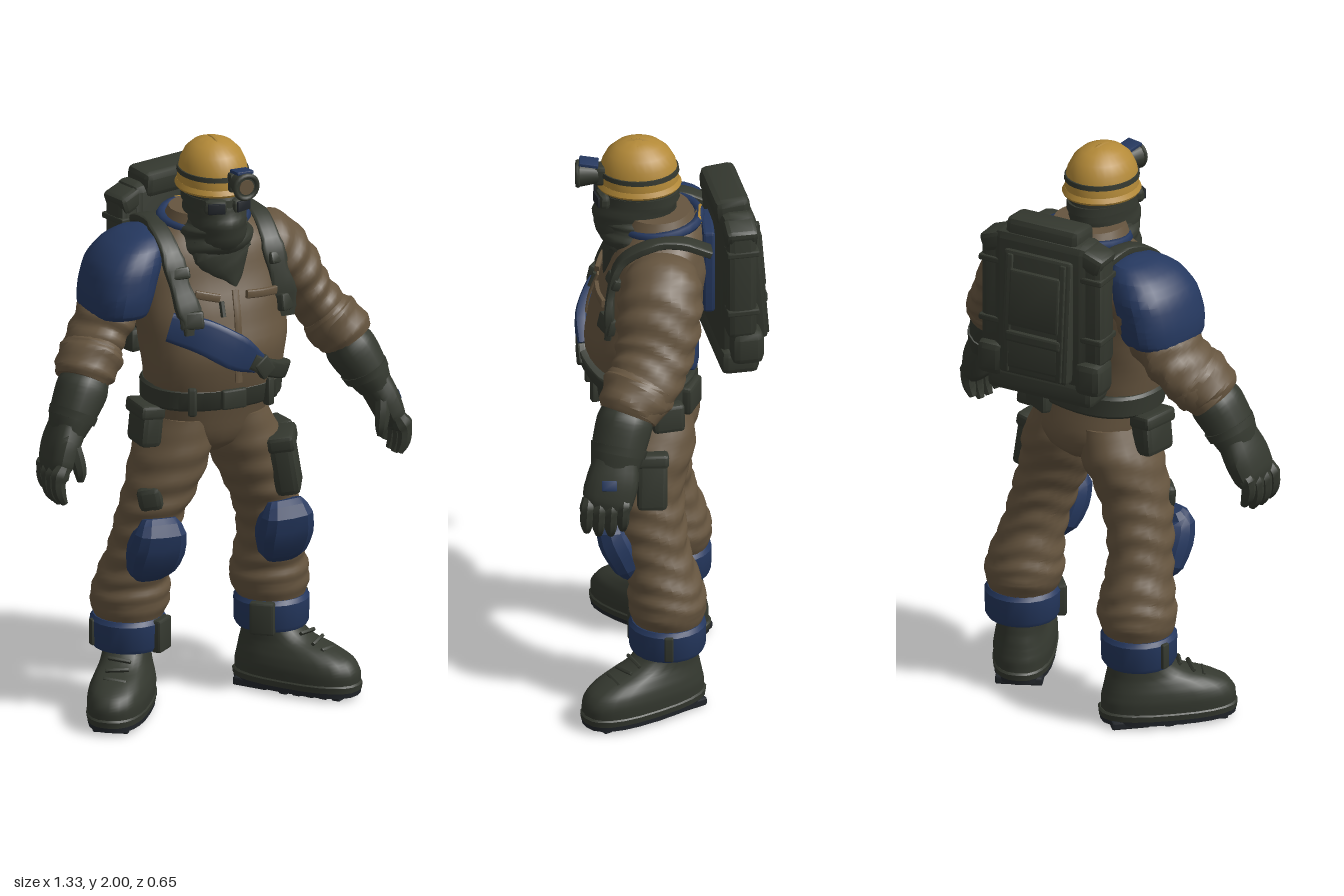
import * as THREE from 'three';
import { toCreasedNormals } from 'three/addons/utils/BufferGeometryUtils.js';
import { RoundedBoxGeometry } from 'three/addons/geometries/RoundedBoxGeometry.js';

const V = (x, y, z) => new THREE.Vector3(x, y, z);
const X = V(1, 0, 0), Y = V(0, 1, 0), Z = V(0, 0, 1);

// Skin through rings [x, y, z, a, b]; level keeps every ring horizontal
function loft(rings, { seg = 20, sub = 4, pow = 2, level = false, ref = Z, wrinkle = 0, waves = 8, crease = 0.6 } = {}) {
  const path = new THREE.CatmullRomCurve3(rings.map(r => V(r[0], r[1], r[2])));
  const radii = new THREE.CatmullRomCurve3(rings.map(r => V(r[3], r[4], 0)));
  const n = (rings.length - 1) * sub, pos = [], idx = [];
  const upright = Y.clone().multiplyScalar(Math.sign(rings[rings.length - 1][1] - rings[0][1]));
  for (let i = 0; i <= n; i++) {
    const t = i / n, c = path.getPoint(t), r = radii.getPoint(t);
    const T = level ? upright : path.getTangent(t);
    const side = V(0, 0, 0).crossVectors(ref, T).normalize();
    const front = V(0, 0, 0).crossVectors(T, side);
    for (let j = 0; j < seg; j++) {
      const a = j / seg * Math.PI * 2, co = Math.cos(a), si = Math.sin(a);
      const k = 1 + wrinkle * Math.sin(t * waves * 6.28 + 1.6 * Math.sin(a * 2) + Math.cos(a * 3)) * Math.sin(Math.PI * t);
      const u = Math.sign(co) * Math.abs(co) ** (2 / pow) * r.x * k;
      const v = Math.sign(si) * Math.abs(si) ** (2 / pow) * r.y * k;
      pos.push(...c.clone().addScaledVector(side, u).addScaledVector(front, v).toArray());
    }
  }
  for (let i = 0; i < n; i++) for (let j = 0; j < seg; j++) {
    const p = i * seg + j, q = i * seg + (j + 1) % seg;
    idx.push(p, q, q + seg, p, q + seg, p + seg);
  }
  // End caps
  const m = (n + 1) * seg;
  pos.push(...path.getPoint(0).toArray(), ...path.getPoint(1).toArray());
  for (let j = 0; j < seg; j++) {
    const k = (j + 1) % seg;
    idx.push(m, k, j, m + 1, n * seg + j, n * seg + k);
  }
  const g = new THREE.BufferGeometry();
  g.setAttribute('position', new THREE.Float32BufferAttribute(pos, 3));
  g.setIndex(idx);
  return toCreasedNormals(g, crease);
}

// Jacket profile: y, half width, centre z, half depth
const TORSO = [[1.1, .22, .09, .155], [1.17, .235, .1, .175], [1.3, .25, .1, .19], [1.42, .265, .07, .185],
  [1.55, .275, .04, .17], [1.64, .24, .03, .15], [1.7, .16, .02, .12], [1.73, .11, .03, .1]];
function chestZ(x, y) {
  let i = 0;
  while (i < TORSO.length - 2 && TORSO[i + 1][0] < y) i++;
  const p = TORSO[i], q = TORSO[i + 1], t = (y - p[0]) / (q[0] - p[0]);
  const [, w, c, d] = p.map((v, k) => v + (q[k] - v) * t);
  return c + d * Math.max(0, 1 - Math.abs(x / w) ** 2.3) ** (1 / 2.3);
}

export function createModel() {
  const root = new THREE.Group();
  const mat = (name, color) => Object.assign(new THREE.MeshStandardMaterial({ color }), { name });
  const cloth = mat('brown cloth', 0x66553f), dark = mat('dark green gear', 0x34382f), blue = mat('blue armour', 0x25385f);
  const yellow = mat('yellow helmet', 0xb48a38), black = mat('black rubber', 0x22262b);

  const add = (name, geo, m, parent = root, p = [0, 0, 0], r = [0, 0, 0]) => {
    const o = new THREE.Mesh(geo, m);
    o.name = name;
    o.position.set(...p);
    o.rotation.set(...r);
    parent.add(o);
    return o;
  };
  const box = (name, [w, h, d], m, p, r, parent = root, bevel = 0.25) =>
    add(name, toCreasedNormals(new RoundedBoxGeometry(w, h, d, 1, Math.min(w, h, d) * bevel), 0.4), m, parent, p, r);
  const stack = rows => rows.map(([y, a, z, b]) => [0, y, z, a, b]);
  const group = (name, p, r = [0, 0, 0]) => {
    const g = new THREE.Group();
    g.name = name; g.position.set(...p); g.rotation.set(...r);
    root.add(g);
    return g;
  };

  // Jacket and trouser seat
  add('jacket', loft(stack(TORSO), { level: true, seg: 32, pow: 2.3, wrinkle: .012, waves: 5 }), cloth);
  add('trouserSeat', loft(stack([[.9, .05, .04, .08], [.94, .14, .045, .13], [1.0, .195, .05, .15], [1.12, .215, .08, .15]]), { level: true, seg: 28, pow: 2.3 }), cloth);
  add('collar', loft(stack([[1.62, .18, .04, .15], [1.69, .15, .04, .135], [1.745, .125, .045, .115]]), { level: true, seg: 24 }), cloth);
  const ring = add('blueCollar', new THREE.TorusGeometry(.13, .017, 6, 24), blue, root, [0, 1.705, .03], [Math.PI / 2 + .1, 0, 0]);
  ring.scale.set(1.1, 1, 1);
  box('collarTab', [.1, .025, .02], yellow, [0, 1.72, -.097], [.3, 0, 0]);

  // Jacket details
  const onChest = (x, y, lift = .012) => [x, y, chestZ(x, y) + lift];
  const band = (name, pts, w, d, m) => add(name, loft(pts.map(([x, y, k = 1]) => [...onChest(x, y), w * k, d]), { pow: 5, seg: 16 }), m);
  band('placket', [[.02, 1.5], [.015, 1.4], [.01, 1.19]], .012, .004, cloth);
  band('chestPocketFlap', [[.06, 1.48], [.12, 1.475], [.18, 1.47]], .014, .008, cloth);
  band('chestPocketFlap', [[-.12, 1.5], [-.08, 1.49], [-.04, 1.48]], .014, .008, cloth);
  band('zipPull', [[-.035, 1.47], [-.035, 1.42]], .007, .01, dark);
  add('chestPlate', loft([[-.2, 1.39, .2, .05, .03], [-.105, 1.36, .263, .06, .022], [-.01, 1.305, .295, .062, .022], [.08, 1.25, .285, .036, .02]], { pow: 5, seg: 16 }), blue);
  band('lowerStrap', [[.05, 1.265], [.12, 1.225], [.2, 1.19], [.225, 1.18]], .03, .018, dark);
  box('strapBuckle', [.06, .07, .03], dark, onChest(.1, 1.235, .02), [0, .2, .6]);
  add('lowerBackSash', loft([[-.1, 1.2, -.072, .035, .012], [.03, 1.215, -.086, .035, .012], [.13, 1.24, -.07, .035, .012], [.2, 1.27, -.02, .03, .012]], { pow: 4, seg: 16 }), blue);

  // Belt and pouches
  add('belt', loft(stack([[1.09, .23, .085, .17], [1.1, .24, .085, .178], [1.16, .243, .09, .182], [1.17, .235, .09, .175]]), { level: true, sub: 1, seg: 32, pow: 2.3 }), dark);
  box('beltBuckle', [.09, .07, .03], dark, [0, 1.13, .268]);
  for (const x of [-.14, .14]) box('beltLoop', [.03, .1, .03], dark, [x, 1.13, .245], [0, x * 3, 0]);
  box('rightHipPouch', [.08, .14, .13], dark, [-.24, 1.02, .09], [0, 0, -.1]);
  box('rightHipPouchFlap', [.09, .05, .14], dark, [-.24, 1.075, .09], [0, 0, -.1]);
  box('leftHipPouch', [.06, .1, .11], dark, [.225, 1.07, 0], [0, .3, .1]);
  box('rearPouch', [.12, .1, .05], dark, [.12, 1.1, -.07], [0, -.3, 0]);
  const thigh = group('thighPouches', [.255, .845, .1], [0, 0, .17]);
  box('frontThighPouch', [.085, .21, .13], dark, [-.02, 0, .07], [0, -.5, 0], thigh);
  box('frontThighFlap', [.095, .06, .14], dark, [-.018, .085, .07], [0, -.5, 0], thigh);
  box('rearThighPouch', [.06, .19, .1], dark, [.02, 0, -.05], [0, .1, 0], thigh);
  box('rearThighFlap', [.07, .05, .11], dark, [.02, .08, -.05], [0, .1, 0], thigh);
  box('thighPatch', [.085, .085, .05], dark, [-.25, .775, .152], [0, -.6, .2], root, .4);

  for (const s of [1, -1]) {
    const side = s > 0 ? 'left' : 'right';
    const limb = (name, rows, m, o) => add(side + name, loft(rows.map(r => [r[0] * s, ...r.slice(1)]), o), m);
    // Arm, rolled cuff and glove
    limb('Sleeve', [[.16, 1.6, .02, .08, .11], [.24, 1.57, .02, .11, .135], [.31, 1.49, .025, .1, .14], [.37, 1.39, .04, .087, .13],
      [.43, 1.31, .07, .085, .12], [.49, 1.23, .12, .085, .1]], cloth, { sub: 8, seg: 24, wrinkle: .05, waves: 7 });
    limb('SleeveCuff', [[.42, 1.315, .075, .085, .115], [.435, 1.295, .085, .1, .125], [.475, 1.245, .115, .1, .11], [.49, 1.22, .125, .085, .095]], cloth, { wrinkle: .04, waves: 3 });
    limb('GloveCuff', [[.475, 1.225, .125, .078, .088], [.495, 1.19, .135, .088, .095], [.54, 1.11, .155, .075, .09], [.565, 1.06, .165, .058, .08]], dark, { seg: 16 });
    limb('GloveBand', [[.53, 1.125, .15, .082, .096], [.542, 1.1, .155, .078, .092]], dark, { seg: 16, sub: 1 });
    limb('Palm', [[.555, 1.09, .16, .055, .075], [.59, 1.02, .172, .05, .088], [.612, .96, .186, .043, .084], [.622, .93, .193, .03, .07]], dark, { seg: 16, pow: 2.6 });
    for (let i = 0; i < 4; i++) {
      const z = .128 + i * .04, d = [.02, 0, 0, .01][i];
      limb('Finger', [[.612, .97, z, .027, .023], [.634, .915 + d, z + .006, .027, .023], [.63, .87 + d, z + .008, .023, .021], [.613, .835 + d, z + .008, .012, .013]], dark, { seg: 8 });
    }
    limb('Thumb', [[.57, 1.05, .215, .025, .03], [.56, .99, .24, .026, .027], [.552, .945, .248, .023, .022], [.55, .91, .245, .012, .012]], dark, { seg: 8 });

    // Trouser leg, knee pad and ankle guard
    limb('TrouserLeg', [[.1, 1.04, .06, .1, .14], [.13, .92, .06, .13, .148], [.17, .8, .07, .125, .125], [.21, .69, .06, .111, .118], [.235, .58, .04, .106, .114],
      [.25, .47, .01, .122, .122], [.255, .39, 0, .135, .132], [.262, .31, 0, .108, .112]], cloth, { level: true, sub: 8, seg: 24, wrinkle: .045, waves: 9 });
    limb('KneePad', [[.24, .49, .115, .055, .028], [.24, .525, .13, .086, .05], [.235, .6, .163, .1, .062], [.232, .665, .187, .091, .056], [.23, .71, .175, .06, .03]], blue, { seg: 12, sub: 2, pow: 2.8, crease: .3 });
    limb('AnkleGuard', [[.263, .22, 0, .118, .12], [.263, .235, 0, .126, .128], [.263, .315, 0, .128, .13], [.263, .33, 0, .118, .12]], blue, { level: true, sub: 1 });
    box('ankleBuckle', [.085, .115, .035], dark, [.185 * s, .272, .098], [0, -.65 * s, 0]);
    box('ankleClip', [.02, .09, .03], dark, [.387 * s, .275, -.01]);

    // Boot
    const boot = group(side + 'Boot', [.322 * s, 0, .078], [0, .63 * s, 0]);
    add('bootUpper', loft(stack([[.04, .1, 0, .228], [.085, .103, .002, .228], [.125, .098, -.006, .212], [.155, .088, -.032, .18], [.185, .08, -.074, .13], [.23, .08, -.1, .1], [.31, .09, -.11, .1]]),
      { level: true, seg: 24, pow: 2.5 }), dark, boot);
    add('welt', loft(stack([[.03, .102, 0, .233], [.05, .105, 0, .236], [.056, .1, 0, .23]]), { level: true, sub: 1, seg: 24, pow: 2.5 }), dark, boot);
    add('sole', loft(stack([[.013, .099, 0, .229], [.031, .101, 0, .232]]), { level: true, sub: 1, seg: 24, pow: 2.5 }), black, boot);
    box('heelBlock', [.16, .03, .13], black, [0, .015, -.14], [0, 0, 0], boot);
    for (let i = 0; i < 5; i++) box('tread', [.17 - i * .012, .025, .032], black, [0, .0125, -.01 + i * .047], [0, 0, 0], boot);
    for (let i = 0; i < 4; i++) box('lace', [.08, .012, .014], dark, [0, .16 + i * .023, .118 - i * .04], [-.8, 0, i % 2 ? .12 : -.12], boot);

    // Pack strap, running to the hip on the left and inwards on the right
    const [x0, x1, x2, x3] = s > 0 ? [.15, .185, .2, .225] : [.18, .18, .168, .145];
    limb('ShoulderStrap', [[x0, 1.66, -.14, .014, .032], [(x0 + .185) / 2, 1.7, -.04, .014, .032], [.185, 1.695, .06, .014, .032], [x1, 1.63, chestZ(x1, 1.63) + .018, .014, .034],
      [x2, 1.53, chestZ(x2, 1.53) + .016, .014, .034], [x3, 1.42, chestZ(x3, 1.42) + .014, .014, .034], [x3, 1.37, chestZ(x3, 1.37) + .01, .012, .028]], dark, { ref: X, pow: 5, seg: 16 });
    box('strapAdjuster', [.08, .06, .03], dark, onChest(x3 * s, 1.42, .02), [-.2, x3 * 2.5 * s, 0]);
    box('strapClip', [.076, .04, .03], dark, onChest(x2 * s, 1.57, .022), [-.4, .4 * s, 0]);
  }
  box('leftGloveBadge', [.009, .035, .05], blue, [.637, 1.03, .18], [0, 0, .35]);

  // Right shoulder armour
  const padRows = [[-.337, 1.425, .04, .1, .145], [-.336, 1.44, .04, .105, .155], [-.325, 1.5, .04, .113, .163], [-.3, 1.58, .035, .115, .158],
    [-.265, 1.645, .03, .097, .13], [-.235, 1.68, .02, .06, .085], [-.22, 1.692, .015, .015, .03]];
  add('shoulderArmour', loft(padRows, { level: true, seg: 24, sub: 3, pow: 2.4, crease: .35 }), blue);

  // Head, face cover and scarf
  add('faceCover', loft(stack([[1.58, .115, .07, .12], [1.65, .1, .11, .13], [1.72, .098, .12, .14], [1.78, .098, .11, .135], [1.86, .1, .1, .12]]), { level: true, seg: 24, wrinkle: .02, waves: 4 }), dark);
  add('scarf', loft(stack([[1.58, .13, .07, .13], [1.61, .145, .075, .145], [1.67, .135, .085, .15], [1.71, .115, .09, .145], [1.73, .1, .1, .13]]), { level: true, sub: 6, seg: 28, wrinkle: .045, waves: 3 }), dark);
  add('scarfPoint', loft([[.03, 1.5, .215, .008, .008], [.02, 1.55, .2, .055, .025], [0, 1.61, .18, .105, .045], [0, 1.66, .16, .11, .05]], { seg: 16, wrinkle: .04, waves: 3 }), dark);
  add('goggleStrap', loft(stack([[1.785, .101, .105, .138], [1.815, .101, .105, .136]]), { level: true, sub: 1 }), dark);
  for (const s of [1, -1]) {
    box('goggleFrame', [.08, .055, .04], dark, [.044 * s, 1.795, .222], [0, .35 * s, 0], root, .48);
    box('goggleLens', [.058, .036, .008], black, [.049 * s, 1.795, .243], [0, .35 * s, 0]);
  }

  // Helmet with lamp
  const helmet = group('helmet', [0, 1.843, .103], [.02, 0, 0]);
  const oval = (name, pts, m) =>
    add(name, toCreasedNormals(new THREE.LatheGeometry(pts.map(p => new THREE.Vector2(...p)), 28), .6), m, helmet).scale.set(.99, 1, 1.13);
  oval('dome', [[.118, 0], [.117, .04], [.109, .08], [.092, .115], [.066, .14], [.035, .153], [0, .157]], yellow);
  oval('brim', [[.1, -.008], [.122, -.012], [.126, -.004], [.118, .012], [.1, .012]], yellow);
  oval('helmetBand', [[.112, .038], [.12, .04], [.118, .056], [.11, .057]], dark);
  for (const x of [-.04, 0, .04]) {
    const h = Math.sqrt(1 - (x / .118) ** 2);
    const rib = add('helmetRib', new THREE.TorusGeometry(1, .028, 5, 20, Math.PI * .8).rotateZ(Math.PI * .1).rotateY(Math.PI / 2), yellow, helmet, [x, 0, 0]);
    rib.scale.set(.22, .156 * h, .133 * h);
  }
  const turn = [Math.PI / 2, 0, 0];
  box('lampBracket', [.06, .07, .05], dark, [.025, .04, .125], [0, 0, 0], helmet);
  add('lampBody', new THREE.CylinderGeometry(.046, .032, .07, 16), dark, helmet, [.03, .043, .168], turn);
  add('lampRing', new THREE.TorusGeometry(.04, .009, 6, 20), dark, helmet, [.03, .043, .202]);
  add('lampLens', new THREE.CylinderGeometry(.026, .026, .006, 16), cloth, helmet, [.03, .043, .204], turn);
  box('lampHousing', [.06, .012, .065], blue, [.03, .086, .165], [-.15, 0, 0], helmet);

  // Backpack
  box('backPlate', [.18, .3, .04], blue, [.01, 1.55, -.125], [0, .1, 0]);
  const pack = group('backpack', [-.03, 1.5, -.195], [0, .24, 0]);
  const part = (name, size, p, r, m = dark) => box(name, size, m, p, r, pack);
  const lean = [.08, 0, 0];
  part('packBody', [.36, .56, .12], [0, .01, 0]);
  part('packLid', [.28, .09, .12], [0, .285, .012], [.1, 0, 0]);
  part('packPanel', [.26, .44, .05], [0, .01, -.066], lean);
  part('panelPocket', [.19, .2, .03], [0, .07, -.086], lean);
  part('lowerPocket', [.2, .13, .045], [0, -.12, -.086], lean);
  part('lowerFlap', [.21, .04, .05], [0, -.07, -.087], lean);
  part('baseRoll', [.4, .09, .13], [0, -.255, 0]);
  for (const s of [1, -1]) {
    part('sidePocket', [.09, .4, .1], [.185 * s, .05, 0]);
    part('sidePocketTop', [.1, .07, .11], [.18 * s, .235, 0], [0, 0, -.35 * s]);
    part('sideRoundPouch', [.1, .12, .11], [.185 * s, -.19, -.02]);
    part('panelStrap', [.022, .42, .018], [.1 * s, .01, -.09], lean);
    for (const y of [-.05, .17]) part('sideStrap', [.1, .022, .11], [.183 * s, y, -.003]);
  }
  return root;
}
